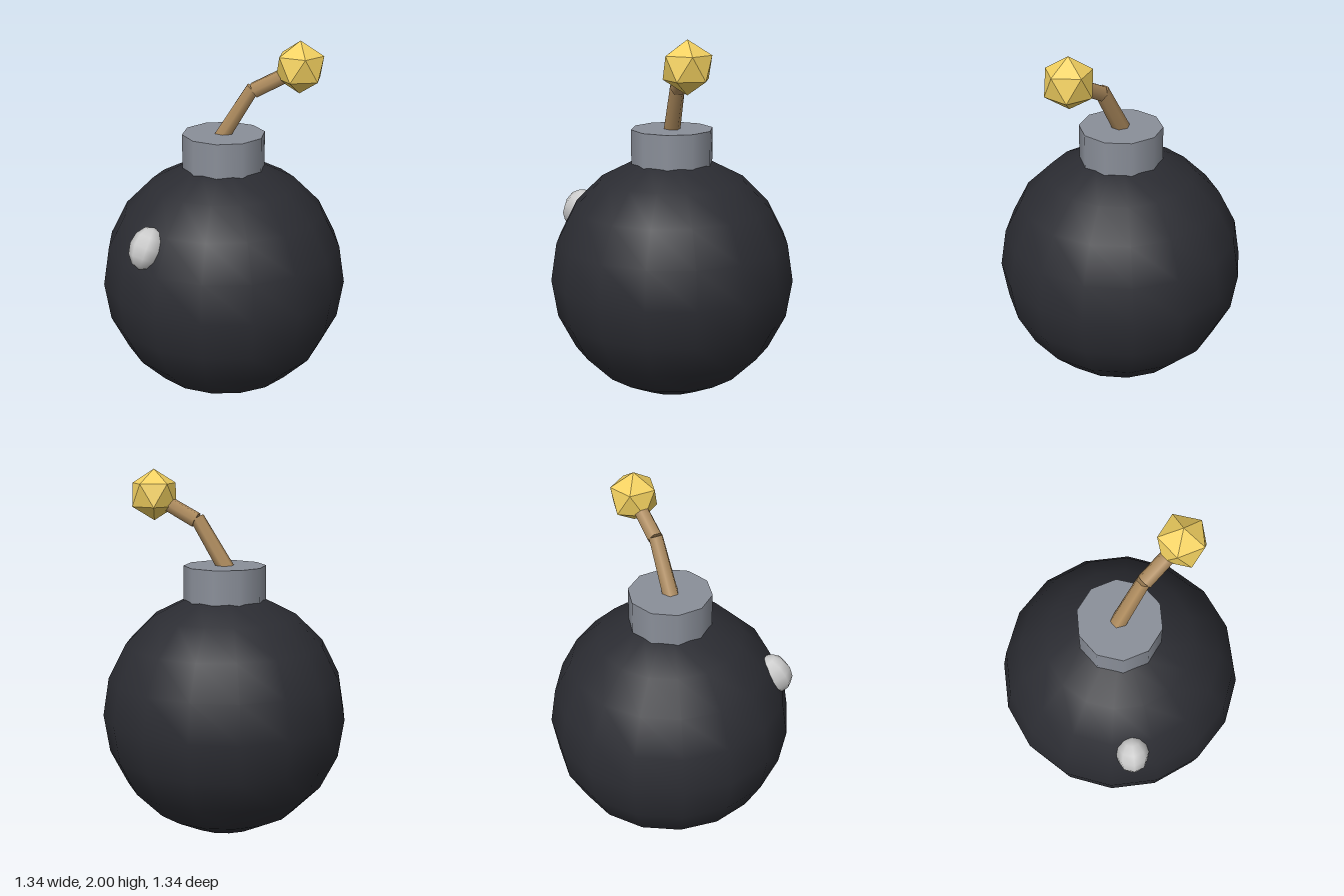
import * as THREE from 'three';

const material = (color, flatShading = false) =>
  new THREE.MeshStandardMaterial({ color, flatShading });

export function createModel() {
  const group = new THREE.Group();
  const add = (name, geometry, mat, x, y, z) => {
    const mesh = new THREE.Mesh(geometry, mat);
    mesh.name = name;
    mesh.position.set(x, y, z);
    group.add(mesh);
    return mesh;
  };

  // Round body
  const radius = 0.672;
  const centre = new THREE.Vector3(0, radius, 0);
  add('body', new THREE.SphereGeometry(radius, 16, 10), material(0x2b2c32), 0, radius, 0);

  // Ten-sided neck sunk into the top of the body
  add('neck', new THREE.CylinderGeometry(0.224, 0.224, 0.25, 10), material(0x8a8f99), 0, 1.365, 0);

  // Bent fuse: two six-sided rods in the xy plane
  const fuseMaterial = material(0xb08d5f);
  const addRod = (name, [x0, y0], [x1, y1], r0, r1) => {
    const dx = x1 - x0, dy = y1 - y0;
    const rod = add(name, new THREE.CylinderGeometry(r1, r0, Math.hypot(dx, dy), 6),
      fuseMaterial, (x0 + x1) / 2, (y0 + y1) / 2, 0);
    rod.rotation.z = -Math.atan2(dx, dy);
  };
  addRod('lowerFuse', [-0.01, 1.47], [0.156, 1.742], 0.046, 0.04);
  addRod('upperFuse', [0.161, 1.73], [0.38, 1.848], 0.044, 0.042);

  // Faceted spark, one corner pointing straight up
  const spark = add('spark', new THREE.IcosahedronGeometry(0.1385, 0),
    material(0xf2d060, true), 0.4, 1.862, 0);
  spark.rotation.z = -Math.atan2(2, 1 + Math.sqrt(5));

  // Raised highlight, facing outwards from the body
  const outward = new THREE.Vector3(-0.488, 0.488, 0.724).normalize();
  const spot = centre.clone().addScaledVector(outward, 0.66);
  const highlight = add('highlight', new THREE.SphereGeometry(1, 8, 6),
    material(0xcccccc), spot.x, spot.y, spot.z);
  highlight.scale.set(0.088, 0.115, 0.09);
  highlight.lookAt(spot.clone().add(outward));

  return group;
}
